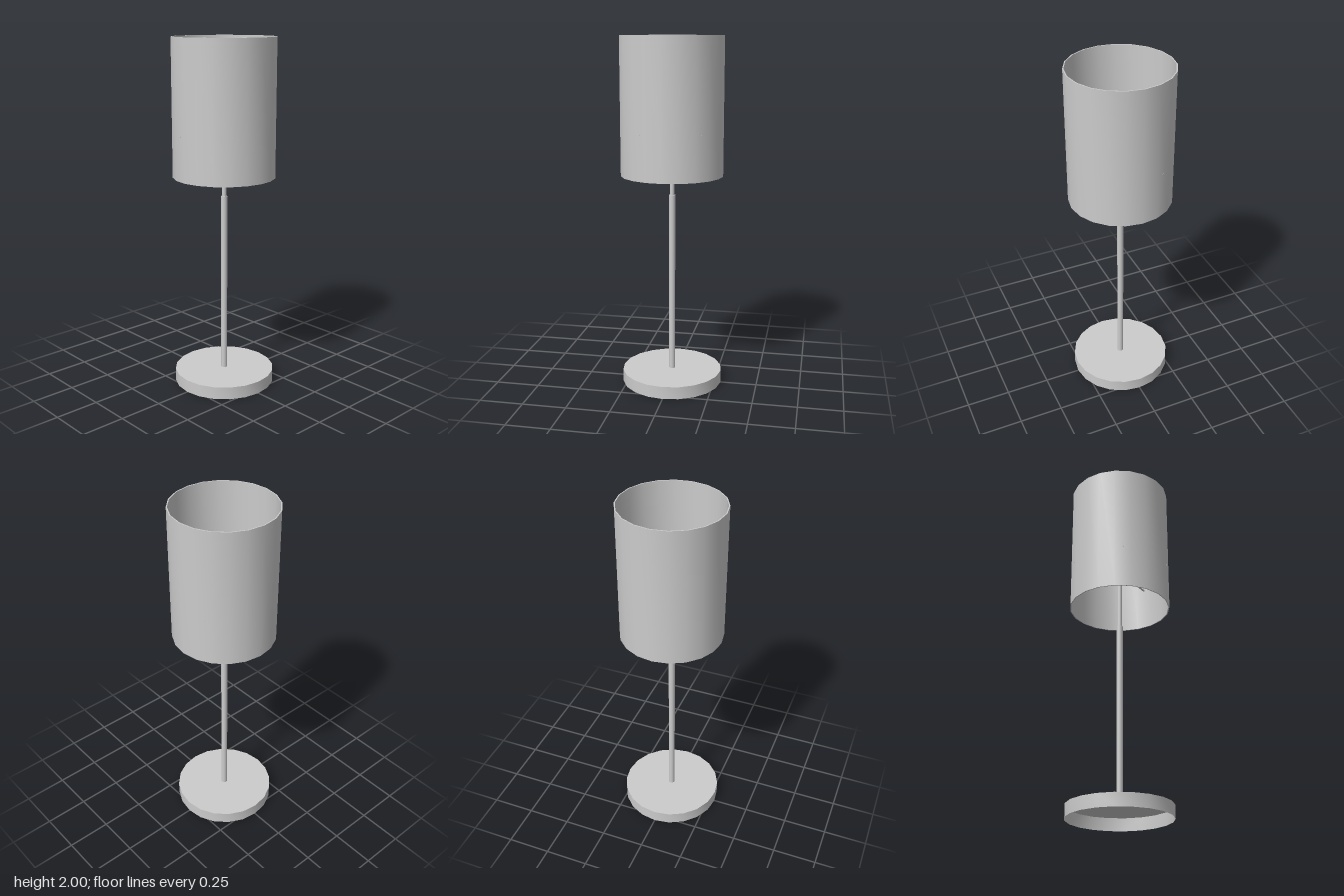
import * as THREE from 'three';
import { toCreasedNormals } from 'three/addons/utils/BufferGeometryUtils.js';

const SIDES = 20;
const solid = new THREE.MeshStandardMaterial({ color: 0xcccccc });
const thin = new THREE.MeshStandardMaterial({ color: 0xcccccc, side: THREE.DoubleSide });

// Turned part from [radius, height] pairs, smooth around and sharp at the rims
function turned(name, points, material) {
  const profile = points.map(([r, y]) => new THREE.Vector2(r, y));
  const geometry = toCreasedNormals(new THREE.LatheGeometry(profile, SIDES), 0.6);
  const mesh = new THREE.Mesh(geometry, material);
  mesh.name = name;
  return mesh;
}

// Upright rod between two heights
function rod(name, radius, y0, y1) {
  const mesh = new THREE.Mesh(new THREE.CylinderGeometry(radius, radius, y1 - y0, SIDES), solid);
  mesh.name = name;
  mesh.position.y = (y0 + y1) / 2;
  return mesh;
}

export function createModel() {
  const lamp = new THREE.Group();
  lamp.name = 'tableLamp';

  // Hollow base, open underneath
  lamp.add(turned('base', [[0.29, 0], [0.29, 0.072], [0, 0.072]], thin));

  // Stem in two diameters
  lamp.add(rod('lowerStem', 0.018, 0.07, 1.115));
  lamp.add(rod('upperStem', 0.013, 1.1, 1.49));

  // Thin-walled drum shade, open at both ends
  const R = 0.29, r = 0.284, low = 1.228, high = 2;
  lamp.add(turned('shade', [[r, low], [R, low], [R, high], [r, high], [r, low]], thin));

  // Bulb on top of the stem
  const bulb = new THREE.Mesh(new THREE.SphereGeometry(0.086, 24, 16), solid);
  bulb.name = 'bulb';
  bulb.position.y = 1.56;
  lamp.add(bulb);

  // Five spokes carrying the shade
  const spokes = new THREE.Group();
  spokes.name = 'shadeSpokes';
  const length = 0.287;
  const spokeGeometry = new THREE.CylinderGeometry(0.006, 0.006, length, 8);
  spokeGeometry.rotateZ(-Math.PI / 2).translate(length / 2, 0, 0);
  for (let i = 0; i < 5; i++) {
    const spoke = new THREE.Mesh(spokeGeometry, solid);
    spoke.name = 'spoke';
    spoke.position.y = 1.48;
    spoke.rotation.y = THREE.MathUtils.degToRad(45 - 72 * i);
    spokes.add(spoke);
  }
  lamp.add(spokes);

  return lamp;
}
